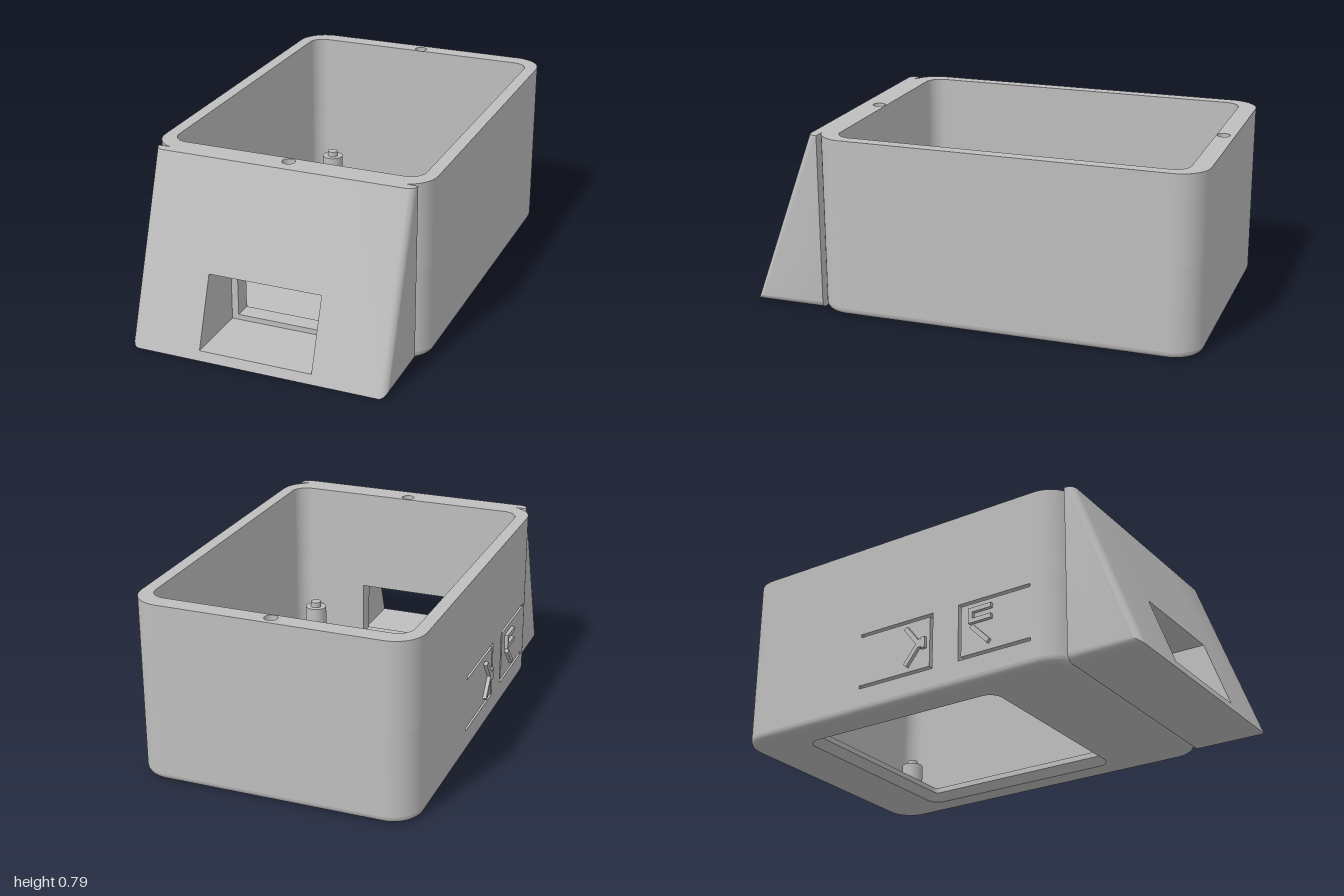
import * as THREE from 'three';
import { toCreasedNormals } from 'three/addons/utils/BufferGeometryUtils.js';

const grey = new THREE.MeshStandardMaterial({ color: 0xbebebe });
grey.name = 'grey plastic';

const H = 0.785, CX = 0.005, FLOOR = 0.06, SPLIT = 0.4, BASE = 0.03;
const OUT = { x0: -0.605, x1: 0.615, z0: -1, z1: 0.68, r: 0.13 };
const INN = { x0: -0.55, x1: 0.56, z0: -0.92, z1: 0.6, r: 0.07 };
const WIN = { x0: -0.43, x1: 0.46, z0: -0.69, z1: 0.23, r: 0.025 };

const grow = (q, d) => ({ x0: q.x0 - d, x1: q.x1 + d, z0: q.z0 - d, z1: q.z1 + d, r: Math.max(q.r + d, 0.01) });

// Quarter arc of a rounded rectangle: 0 front left (+x+z), 1 (-x+z), 2 (-x-z), 3 (+x-z)
function corner(q, k, n = 12) {
  const cx = k === 0 || k === 3 ? q.x1 - q.r : q.x0 + q.r;
  const cz = k < 2 ? q.z1 - q.r : q.z0 + q.r;
  return Array.from({ length: n + 1 }, (_, i) => {
    const a = (k + i / n) * Math.PI / 2;
    return new THREE.Vector2(cx + q.r * Math.cos(a), cz + q.r * Math.sin(a));
  });
}
const ring = q => [0, 1, 2, 3].flatMap(k => corner(q, k));

// Skin closed loops of Vector3 one after another
function loft(loops) {
  const pos = [];
  for (let i = 0; i + 1 < loops.length; i++) {
    const n = loops[i].length;
    for (let j = 0; j < n; j++) {
      const k = (j + 1) % n;
      const a = loops[i][j], b = loops[i][k], c = loops[i + 1][j], d = loops[i + 1][k];
      for (const [p, q, r] of [[a, c, b], [b, c, d]]) {
        if (p.distanceTo(q) < 1e-6 || q.distanceTo(r) < 1e-6 || p.distanceTo(r) < 1e-6) continue;
        for (const v of [p, q, r]) pos.push(v.x, v.y, v.z);
      }
    }
  }
  const g = new THREE.BufferGeometry();
  g.setAttribute('position', new THREE.Float32BufferAttribute(pos, 3));
  return toCreasedNormals(g, 0.5);
}

const extrude = (shape, depth) =>
  toCreasedNormals(new THREE.ExtrudeGeometry(shape, { depth, bevelEnabled: false, curveSegments: 16 }), 0.5);
const v2 = pairs => pairs.map(([x, y]) => new THREE.Vector2(x, y));

export function createModel() {
  const model = new THREE.Group();
  const add = (name, geometry, x = 0, y = 0, z = 0) => {
    const m = new THREE.Mesh(geometry, grey);
    m.name = name;
    m.position.set(x, y, z);
    model.add(m);
    return m;
  };
  const box = (name, x0, x1, y0, y1, z0, z1) =>
    add(name, new THREE.BoxGeometry(x1 - x0, y1 - y0, z1 - z0), (x0 + x1) / 2, (y0 + y1) / 2, (z0 + z1) / 2);
  // Plan shape (x, z) standing from y0 to y1
  const upright = (name, shape, y0, y1) => { add(name, extrude(shape, y1 - y0), 0, y1).rotation.x = Math.PI / 2; };
  // Side shape (z, y) reaching from x1 down to x0
  const sideways = (name, shape, x0, x1) => { add(name, extrude(shape, x1 - x0), x1).rotation.y = -Math.PI / 2; };

  // Floor with chamfered window and rounded lower rim
  const level = (q, y) => ring(q).map(p => new THREE.Vector3(p.x, y, p.y));
  const floor = [level(INN, FLOOR), level(WIN, FLOOR), level(WIN, 0.035), level(grow(WIN, 0.035), 0)];
  for (let i = 0; i <= 6; i++) {
    const t = i / 6 * Math.PI / 2;
    floor.push(level(grow(OUT, BASE * (Math.sin(t) - 1)), BASE * (1 - Math.cos(t))));
  }
  add('floor', loft(floor));

  // Upper wall ring with a screw hole at each end
  const upper = new THREE.Shape(ring(OUT));
  upper.holes.push(new THREE.Path(ring(INN)));
  for (const z of [-0.95, 0.635]) upper.holes.push(new THREE.Path().absarc(CX, z, 0.028, 0, Math.PI * 2, true));
  upright('upperWall', upper, SPLIT, H);

  // Lower walls, leaving gaps for the two pierced panels
  const gx = 0.3, gz0 = -0.4, gz1 = 0.545;
  const main = [2, 3, 0];
  upright('lowerWall', new THREE.Shape([
    ...v2([[OUT.x0, gz0]]), ...main.flatMap(k => corner(OUT, k)), ...v2([[gx, OUT.z1], [gx, INN.z1]]),
    ...main.flatMap(k => corner(INN, k)).reverse(), ...v2([[INN.x0, gz0]])]), BASE, SPLIT);
  upright('lowerCornerWall', new THREE.Shape([
    ...v2([[-gx, OUT.z1]]), ...corner(OUT, 1), ...v2([[OUT.x0, gz1], [INN.x0, gz1]]),
    ...corner(INN, 1).reverse().filter(p => p.y > gz1), ...v2([[-gx, INN.z1]])]), BASE, SPLIT);

  // Front panel with the connector opening
  const front = new THREE.Shape(v2([[-gx, BASE], [gx, BASE], [gx, SPLIT], [-gx, SPLIT]]));
  front.holes.push(new THREE.Path(v2([[-0.22, 0.063], [-0.22, 0.315], [0.22, 0.315], [0.22, 0.063]])));
  add('frontPanel', extrude(front, OUT.z1 - INN.z1), 0, 0, INN.z1);

  // Side panel with two flexible tabs cut free by bracket slots
  const side = new THREE.Shape(v2([[gz0, BASE], [gz1, BASE], [gz1, SPLIT], [gz0, SPLIT]]));
  for (const [hinge, tip] of [[-0.33, 0.05], [0.53, 0.18]]) {
    const w = 0.014, e = tip - Math.sign(tip - hinge) * w;
    side.holes.push(new THREE.Path(v2([[hinge, 0.11], [tip, 0.11], [tip, 0.365], [hinge, 0.365],
      [hinge, 0.365 - w], [e, 0.365 - w], [e, 0.11 + w], [hinge, 0.11 + w]])));
  }
  sideways('sidePanel', side, OUT.x0, INN.x0);

  // Raised marks on the tabs: [z, y, length, tilt]
  const marks = [[-0.04, 0.27, 0.13, 0.9], [-0.04, 0.2, 0.13, -0.9], [0.01, 0.235, 0.05, Math.PI / 2],
    [0.295, 0.315, 0.11, 0], [0.295, 0.267, 0.11, 0], [0.25, 0.29, 0.06, Math.PI / 2], [0.295, 0.2, 0.12, 0.8]];
  for (const [z, y, len, tilt] of marks)
    add('tabMark', new THREE.BoxGeometry(0.017, 0.02, len), -0.6125, y, z).rotation.x = tilt;
  // Inner push nubs
  box('pushNub', -0.555, -0.54, 0.19, 0.28, -0.09, 0);
  box('pushNub', -0.555, -0.545, 0.19, 0.28, 0.25, 0.34);

  // Low ledges on the floor
  box('backLedge', -0.3, 0.32, 0.05, 0.076, -0.93, -0.735);
  box('sideLedge', -0.56, -0.495, 0.05, 0.076, -0.63, 0.37);
  box('sideLedge', 0.52, 0.57, 0.05, 0.076, -0.63, 0.37);

  // Mounting posts with pins
  for (const x of [-0.42, 0.445]) for (const z of [-0.83, 0.53]) {
    add('post', new THREE.CylinderGeometry(0.05, 0.05, 0.15, 32), x, 0.125, z);
    add('postPin', new THREE.CylinderGeometry(0.025, 0.025, 0.03, 24), x, 0.21, z);
  }

  // Sloped front: two side blocks with rounded outer edges, joined above and below the recess
  const back = 0.674, slopeZ = y => 1 - 0.363 * y;
  const section = (x, d) => [[back, d], [slopeZ(d) - d * 1.064, d], [slopeZ(H) - d * 1.064, H], [back, H]]
    .map(([z, y]) => new THREE.Vector3(x, y, z));
  const tip = x => Array.from({ length: 4 }, () => new THREE.Vector3(x, 0.35, 0.75));
  for (const [inner, outer] of [[0.25, 0.575], [-0.25, -0.565]]) {
    const s = Math.sign(outer), r = 0.035;
    const loops = [tip(inner), section(inner, 0)];
    for (let i = 0; i <= 6; i++) {
      const t = i / 6 * Math.PI / 2;
      loops.push(section(outer - s * r * (1 - Math.sin(t)), r * (1 - Math.cos(t))));
    }
    loops.push(tip(outer));
    add('slopeSide', loft(s < 0 ? loops.reverse() : loops));
  }
  for (const [name, y0, y1] of [['slopeSill', 0, 0.04], ['slopeFront', 0.34, H]])
    sideways(name, new THREE.Shape(v2([[back, y0], [slopeZ(y0), y0], [slopeZ(y1), y1], [back, y1]])), -0.25, 0.25);

  return model;
}
